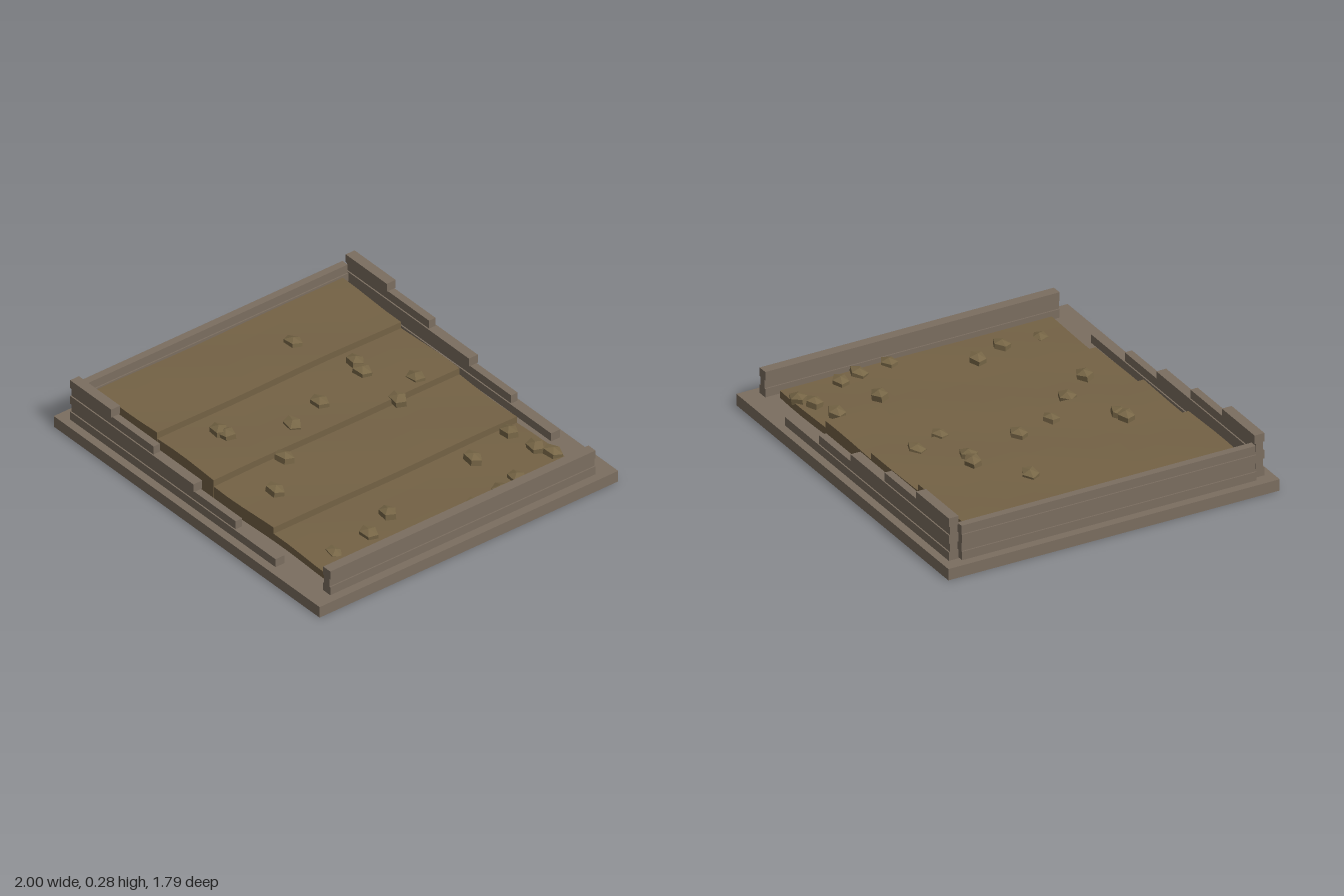
import * as THREE from 'three';

export function createModel() {
  const model = new THREE.Group();
  const material = (name, color) => {
    const m = new THREE.MeshStandardMaterial({ color, flatShading: true });
    m.name = name;
    return m;
  };
  const stone = material('stone', 0x7b6e60);
  const soil = material('soil', 0x746245);
  const clodSoil = material('clod soil', 0x786747);

  const add = (parent, name, geometry, mat, x, y, z) => {
    const mesh = new THREE.Mesh(geometry, mat);
    mesh.name = name;
    mesh.position.set(x, y, z);
    parent.add(mesh);
    return mesh;
  };
  const group = (name) => {
    const g = new THREE.Group();
    g.name = name;
    model.add(g);
    return g;
  };

  const baseTop = 0.06;
  const course = 0.045;
  // Courses alternate between wide and slightly recessed
  const thickness = (i) => (i % 2 ? 0.039 : 0.053);

  // Foundation slab
  add(model, 'foundation', new THREE.BoxGeometry(2, baseTop, 1.79), stone, 0, baseTop / 2, 0);

  // Stepped side walls, each course shorter than the one below
  for (const side of [-1, 1]) {
    const wall = group(side > 0 ? 'frontSteppedWall' : 'backSteppedWall');
    for (let i = 0; i < 5; i++) {
      const length = 1.545 - i * 0.309;
      add(wall, 'course', new THREE.BoxGeometry(length, course, thickness(i)), stone,
        -0.93 + length / 2, baseTop + (i + 0.5) * course, side * 0.826);
    }
  }

  // End walls: tall at the upper end, low at the lower end
  for (const [name, x, count] of [['upperEndWall', -0.929, 4], ['lowerEndWall', 0.928, 3]]) {
    const wall = group(name);
    for (let i = 0; i < count; i++) {
      add(wall, 'course', new THREE.BoxGeometry(thickness(i), course, 1.59), stone,
        x, baseTop + (i + 0.5) * course, 0);
    }
  }

  // Soil terraces with gently uneven tops and edges
  const terraces = group('soilTerraces');
  const edges = [-0.88, -0.43, 0, 0.44, 0.868];
  for (let i = 0; i < 4; i++) {
    const top = 0.204 - i * 0.035;
    const width = edges[i + 1] - edges[i];
    const height = top - baseTop;
    const geometry = new THREE.BoxGeometry(width, height, 1.466, 4, 1, 10);
    const p = geometry.attributes.position;
    for (let k = 0; k < p.count; k++) {
      const x = p.getX(k) + (edges[i] + edges[i + 1]) / 2;
      const z = p.getZ(k);
      if (p.getY(k) > 0) p.setY(k, p.getY(k) + 0.002 * Math.sin(x * 9 + z * 5));
      if (Math.abs(z) > 0.72) p.setZ(k, z + 0.005 * Math.sin(x * 8 + z));
      p.setX(k, p.getX(k) + 0.002 * Math.sin(z * 7 + i));
    }
    add(terraces, 'terrace', geometry, soil,
      (edges[i] + edges[i + 1]) / 2, baseTop + height / 2, -0.003);
  }

  // Five-sided clods scattered down the slope: x, z
  const clods = group('clods');
  const clodGeometry = new THREE.SphereGeometry(0.069, 5, 3).rotateY(-Math.PI / 2);
  const spots = [
    [0.5, -0.64], [0.66, -0.67], [0.74, -0.71], [0.795, -0.45], [0.825, -0.335],
    [0.56, -0.375], [0.845, -0.16], [-0.07, -0.535], [-0.33, -0.38], [-0.255, -0.36],
    [0.01, -0.365], [-0.61, -0.23], [-0.185, -0.05], [-0.125, 0.16], [0.045, 0.345],
    [0.655, 0.21], [0.725, 0.38], [0.215, 0.535], [-0.29, 0.47], [-0.25, 0.46],
    [0.73, 0.59],
  ];
  spots.forEach(([x, z], i) => {
    const sunk = i === spots.length - 1 ? 0.022 : 0;
    const clod = add(clods, 'clod', clodGeometry, clodSoil, x, 0.16 - 0.073 * x - sunk, z);
    clod.scale.set(0.93, 0.43, 0.68);
    clod.rotation.set(0.12 * Math.sin(i * 2.1), 0.15 * Math.sin(i * 3.7), 0.1 * Math.cos(i * 1.7));
  });

  return model;
}
